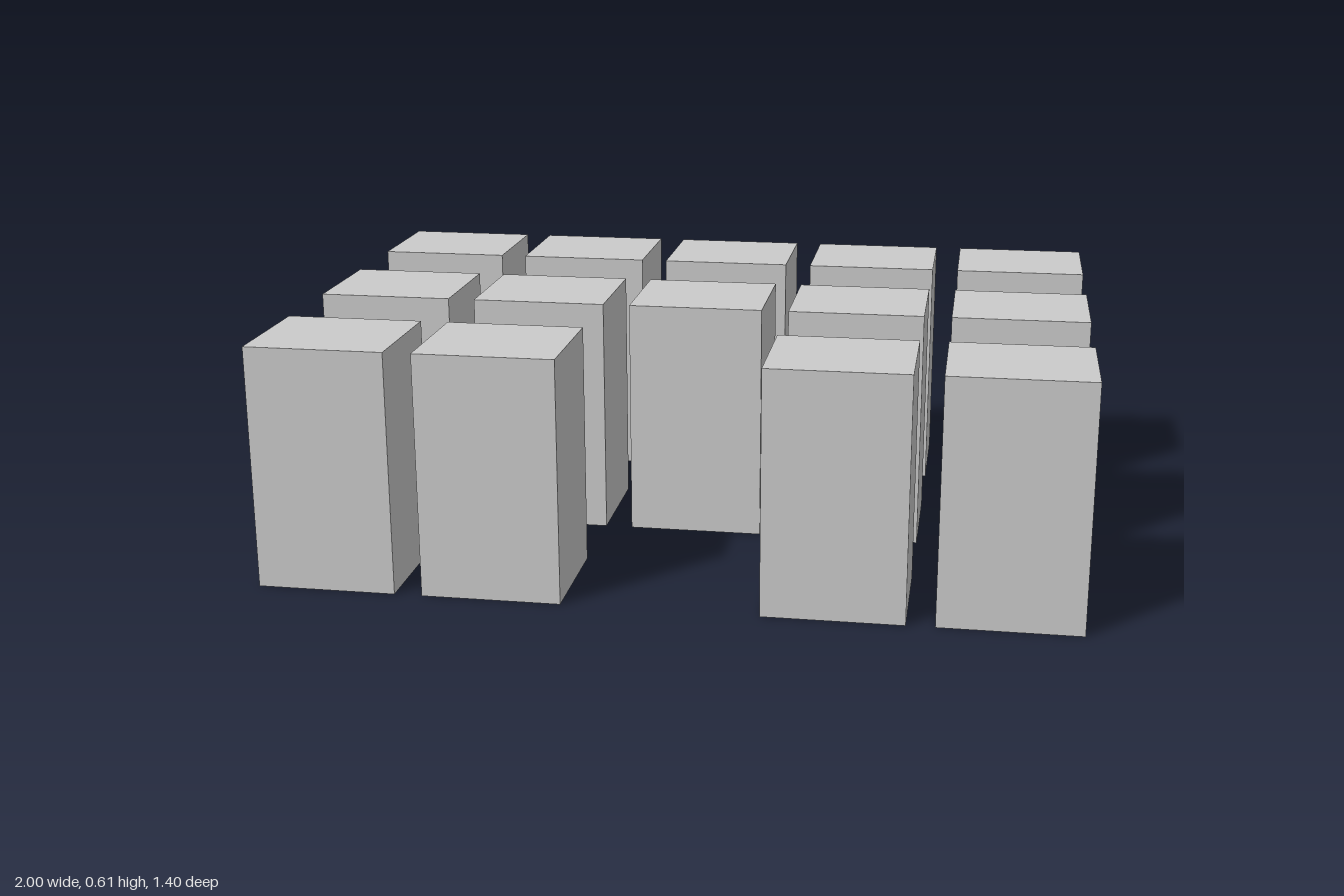
import * as THREE from 'three';

const WIDTH = 0.345, HEIGHT = 0.61, DEPTH = 0.306;
const STEP_X = (2 - WIDTH) / 4;
const STEP_Z = 0.547;

export function createModel() {
  const model = new THREE.Group();
  model.name = 'blockGrid';
  const material = new THREE.MeshStandardMaterial({ color: 0xcccccc, flatShading: true });
  const geometry = new THREE.BoxGeometry(WIDTH, HEIGHT, DEPTH);

  // Three rows of five blocks, with the middle of the front row left open
  ['backRow', 'middleRow', 'frontRow'].forEach((rowName, r) => {
    const row = new THREE.Group();
    row.name = rowName;
    row.position.z = (r - 1) * STEP_Z;
    for (let c = -2; c <= 2; c++) {
      if (rowName === 'frontRow' && c === 0) continue;
      const block = new THREE.Mesh(geometry, material);
      block.name = `block${c + 3}`;
      block.position.set(c * STEP_X, HEIGHT / 2, 0);
      row.add(block);
    }
    model.add(row);
  });
  return model;
}
